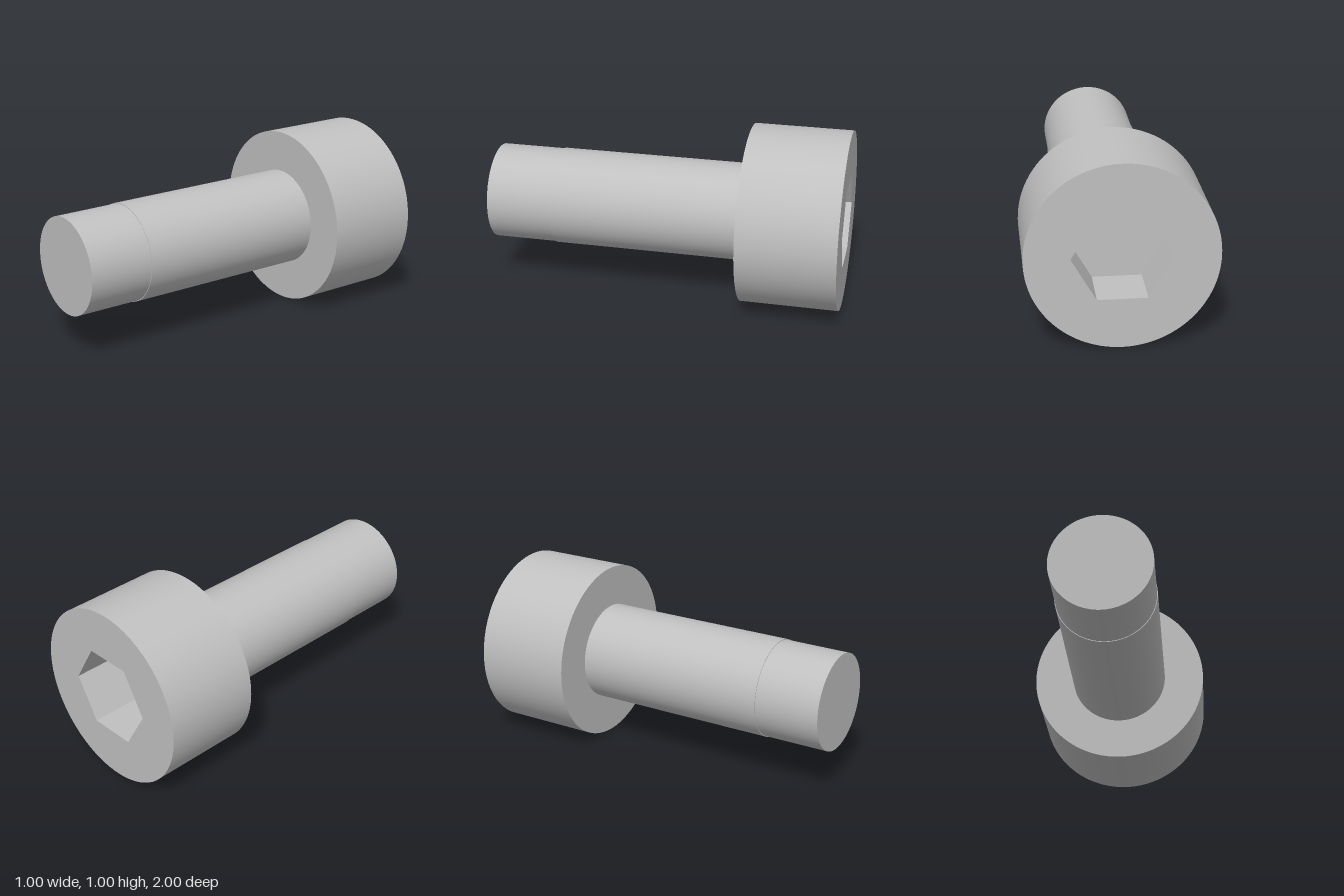
import * as THREE from 'three';
import { mergeGeometries } from 'three/addons/utils/BufferGeometryUtils.js';

const HEAD_R = 0.5, SHANK_R = 0.2727, THREAD_R = 0.269, HEX_R = 0.2624;
const BACK = -1, FLOOR = -0.727, SHOULDER = -0.4545, THREAD = 0.636, TIP = 1;
const SEGMENTS = 96;

// Turns a profile of [radius, z] points about the z axis, keeping its corners sharp
function turned(profile, sides = SEGMENTS) {
  const bands = [];
  for (let i = 0; i < profile.length - 1; i++) {
    const pair = [profile[i], profile[i + 1]].map(([r, z]) => new THREE.Vector2(r, z));
    bands.push(new THREE.LatheGeometry(pair, sides, Math.PI / 2));
  }
  return mergeGeometries(bands).rotateX(Math.PI / 2);
}

export function createModel() {
  const steel = new THREE.MeshStandardMaterial({ color: 0xc0c0c0 });
  steel.name = 'steel';
  const model = new THREE.Group();
  model.name = 'socketScrew';

  const add = (name, geometry) => {
    const mesh = new THREE.Mesh(geometry, steel);
    mesh.name = name;
    mesh.position.y = HEAD_R;
    model.add(mesh);
  };

  // Head wall and the shoulder under it
  add('head', turned([[HEAD_R, BACK], [HEAD_R, SHOULDER], [SHANK_R, SHOULDER]]));

  // Back face with a hexagonal opening
  const face = new THREE.Shape().absarc(0, 0, HEAD_R, 0, Math.PI * 2);
  const hexagon = Array.from({ length: 6 }, (_, i) => {
    const a = (i * Math.PI) / 3;
    return new THREE.Vector2(HEX_R * Math.cos(a), HEX_R * Math.sin(a));
  });
  face.holes.push(new THREE.Path(hexagon).closePath());
  add('headFace', new THREE.ShapeGeometry(face, SEGMENTS).rotateY(Math.PI).translate(0, 0, BACK));

  // Hexagonal socket: flat floor and six flat walls
  const socket = turned([[0, FLOOR], [HEX_R, FLOOR], [HEX_R, BACK]], 6).toNonIndexed();
  socket.computeVertexNormals();
  add('hexSocket', socket);

  // Plain shank, then the slightly thinner threaded end with its flat tip
  add('shank', turned([[SHANK_R, SHOULDER], [SHANK_R, THREAD], [THREAD_R, THREAD]]));
  add('threadedEnd', turned([[THREAD_R, THREAD], [THREAD_R, TIP], [0, TIP]]));

  return model;
}
